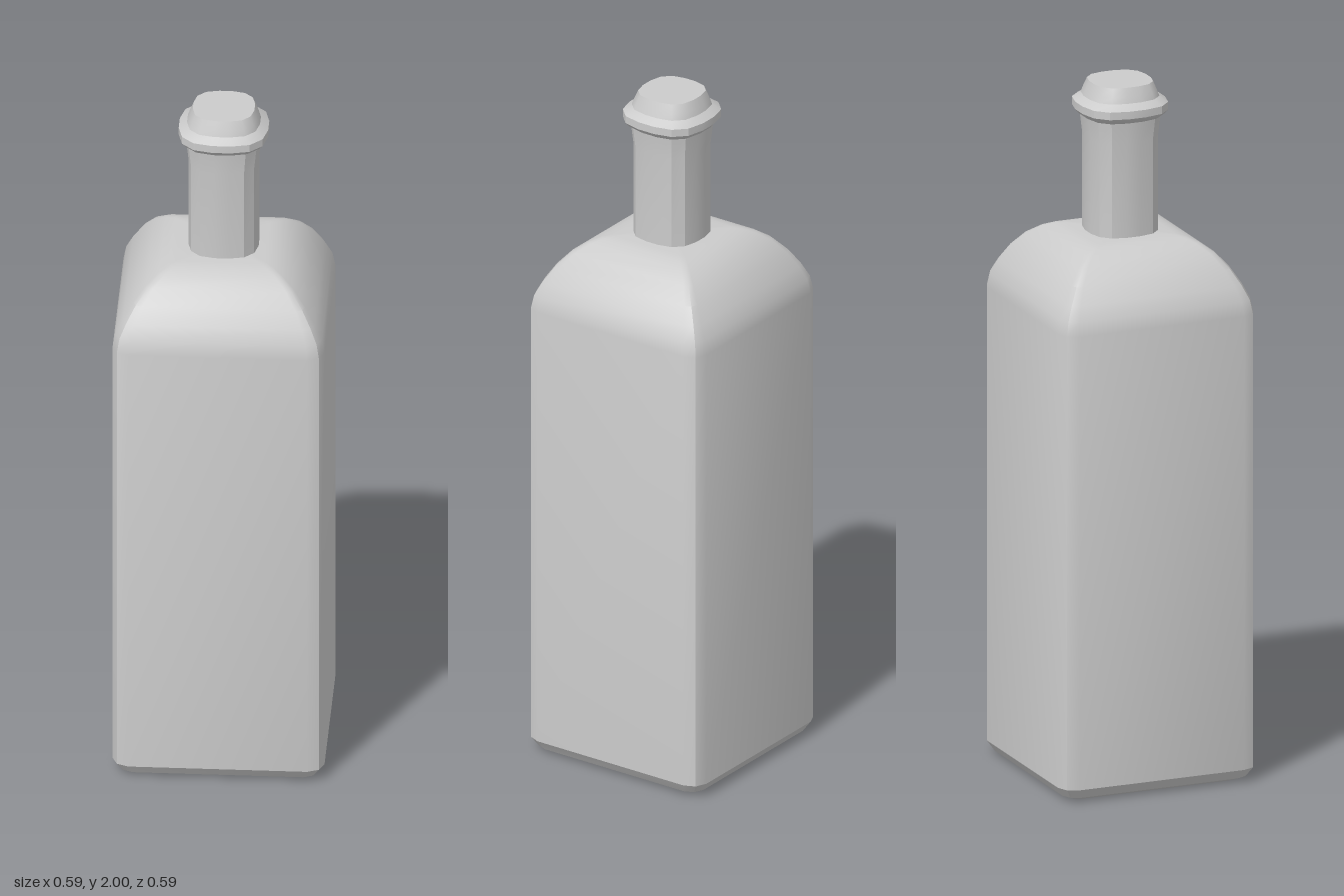
import * as THREE from 'three';
import { toCreasedNormals } from 'three/addons/utils/BufferGeometryUtils.js';

// Repeat one quadrant's outline points around the vertical axis
function fourfold(quadrant) {
  const out = [];
  for (let q = 0, m = quadrant; q < 4; q++) {
    out.push(...m);
    m = m.map(([x, z]) => [-z, x]);
  }
  return out;
}

// Square of half-width h with rounded corners of size c
const squareSection = (h, c) =>
  fourfold([[h, h - c], [h - 0.3 * c, h - 0.3 * c], [h - c, h]]);

// Slightly squared sixteen-sided circle of radius r
const roundSection = (r) =>
  fourfold([[r, 0.21 * r], [0.9 * r, 0.63 * r], [0.63 * r, 0.9 * r], [0.21 * r, r]]);

// Skin a stack of { y, points } sections and close both ends
function loft(sections) {
  const n = sections[0].points.length;
  const positions = [];
  const index = [];
  for (const { y, points } of sections) {
    for (const [x, z] of points) positions.push(x, y, z);
  }
  const last = sections.length - 1;
  const bottom = n * sections.length;
  const top = bottom + 1;
  positions.push(0, sections[0].y, 0, 0, sections[last].y, 0);
  for (let j = 0; j < n; j++) {
    const k = (j + 1) % n;
    for (let i = 0; i < last; i++) {
      const a = i * n + j, b = i * n + k;
      index.push(a, a + n, b, b, a + n, b + n);
    }
    index.push(bottom, j, k, top, last * n + k, last * n + j);
  }
  const geometry = new THREE.BufferGeometry();
  geometry.setAttribute('position', new THREE.Float32BufferAttribute(positions, 3));
  geometry.setIndex(index);
  return toCreasedNormals(geometry, THREE.MathUtils.degToRad(31));
}

export function createModel() {
  const group = new THREE.Group();
  const material = new THREE.MeshStandardMaterial({ color: 0xcccccc });
  const add = (name, sections) => {
    const mesh = new THREE.Mesh(loft(sections), material);
    mesh.name = name;
    group.add(mesh);
  };

  // Square body with rounded base and domed shoulders: height, half-width, corner
  add('body', [
    [0, 0.25, 0.03], [0.012, 0.278, 0.04], [0.04, 0.296, 0.046],
    [1.36, 0.296, 0.046], [1.4, 0.288, 0.042], [1.44, 0.268, 0.034],
    [1.485, 0.24, 0.026], [1.525, 0.206, 0.02], [1.55, 0.172, 0.016],
    [1.562, 0.145, 0.014], [1.567, 0.12, 0.012],
  ].map(([y, h, c]) => ({ y, points: squareSection(h, c) })));

  // Neck: height, radius
  add('neck', [[1.55, 0.098], [1.84, 0.098], [1.91, 0.106]]
    .map(([y, r]) => ({ y, points: roundSection(r) })));

  // Flared lip and stopper top
  add('lip', [
    [1.902, 0.106], [1.908, 0.115], [1.92, 0.125], [1.942, 0.125],
    [1.958, 0.102], [1.975, 0.096], [2, 0.086],
  ].map(([y, r]) => ({ y, points: roundSection(r) })));

  return group;
}
